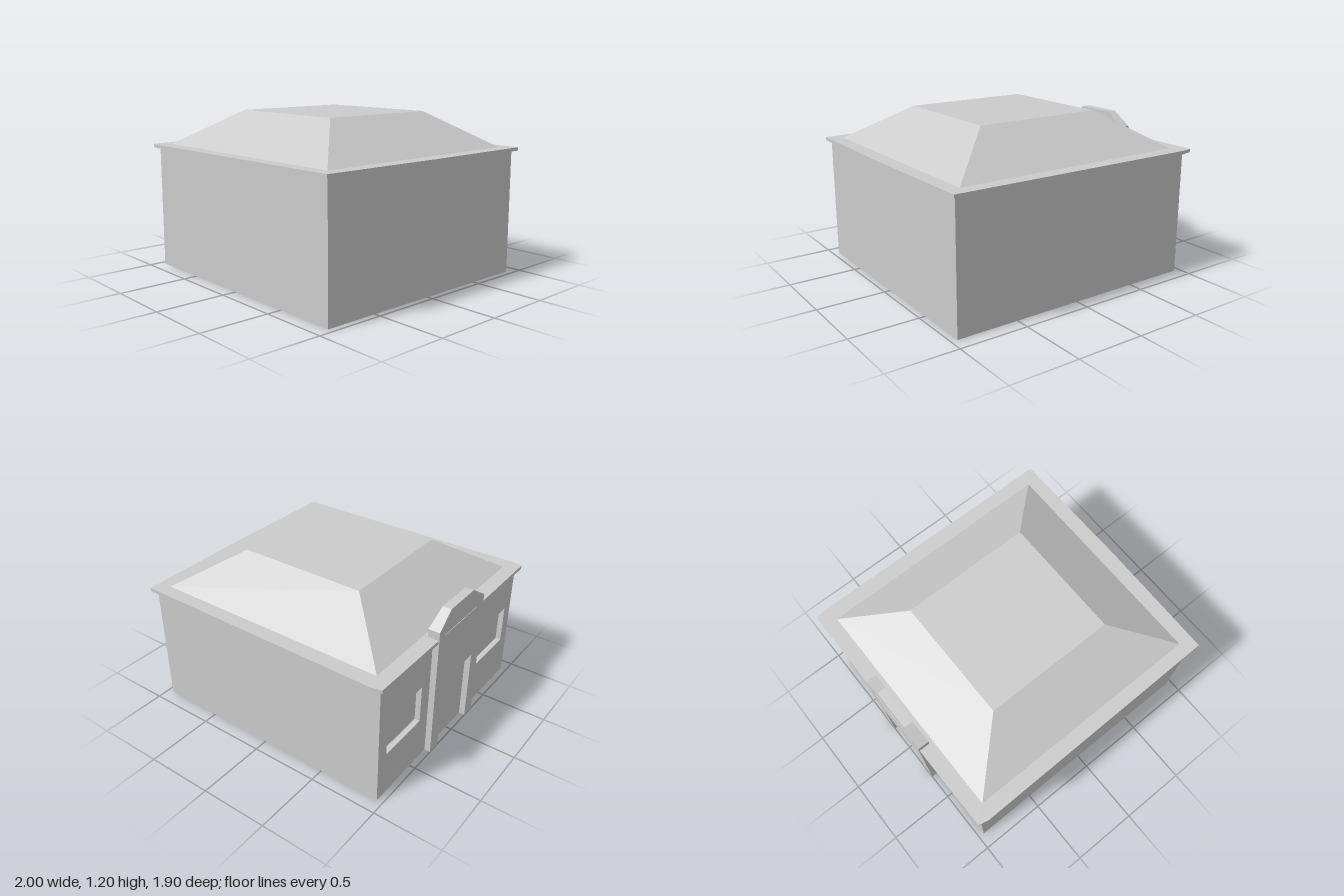
import * as THREE from 'three';

const material = new THREE.MeshStandardMaterial({ color: 0xcccccc, flatShading: true });

function part(name, geometry) {
  const mesh = new THREE.Mesh(geometry, material);
  mesh.name = name;
  return mesh;
}

function outline(points) {
  return new THREE.Shape(points.map(([a, b]) => new THREE.Vector2(a, b)));
}

// Extrudes a (z, y) outline towards -x, starting at the given x
function facadeExtrude(shape, startX, depth) {
  const g = new THREE.ExtrudeGeometry(shape, { depth, bevelEnabled: false });
  return g.rotateY(-Math.PI / 2).translate(startX, 0, 0);
}

function box(x0, x1, y0, y1, z0, z1) {
  return new THREE.BoxGeometry(x1 - x0, y1 - y0, z1 - z0)
    .translate((x0 + x1) / 2, (y0 + y1) / 2, (z0 + z1) / 2);
}

export function createModel() {
  const house = new THREE.Group();
  house.name = 'house';
  const wallX = 0.955, wallZ = 0.897, wallTop = 0.915, innerX = -0.915;

  // Main body; its -x face forms the window panes
  house.add(part('body', box(innerX, wallX, 0, wallTop, -wallZ, wallZ)));

  // Entrance wall with two recessed windows
  const wall = outline([[-wallZ, 0], [wallZ, 0], [wallZ, wallTop], [-wallZ, wallTop]]);
  for (const s of [-1, 1]) {
    wall.holes.push(outline([[s * 0.4, 0.33], [s * 0.805, 0.33], [s * 0.805, 0.615], [s * 0.4, 0.615]]));
  }
  house.add(part('entranceWall', facadeExtrude(wall, innerX, 0.04)));

  // Projecting entrance with door opening and a parapet that tapers at the top
  const portal = facadeExtrude(outline([
    [-0.3, 0], [-0.2, 0], [-0.2, 0.55], [0.2, 0.55], [0.2, 0], [0.3, 0],
    [0.3, 1.0], [0.15, 1.1], [-0.15, 1.1], [-0.3, 1.0],
  ]), innerX, 0.085);
  const p = portal.attributes.position;
  for (let i = 0; i < p.count; i++) {
    if (p.getY(i) > 1.05) p.setX(i, p.getX(i) < -0.95 ? -0.99 : -0.925);
  }
  portal.computeVertexNormals();
  house.add(part('entrancePortal', portal));

  // Overhanging eaves slab, slightly bowed in plan
  const eaves = new THREE.ExtrudeGeometry(outline([
    [-0.99, -0.935], [-0.915, -0.95], [0.985, -0.935], [0.997, 0],
    [0.985, 0.93], [-0.915, 0.947], [-0.99, 0.932], [-0.997, 0],
  ]), { depth: 0.025, bevelEnabled: false });
  house.add(part('eaves', eaves.rotateX(Math.PI / 2).translate(0, 0.94, 0)));

  // Hipped roof with a flat top
  const roof = box(-0.885, 0.885, 0.94, 1.2, -0.837, 0.837);
  const r = roof.attributes.position;
  for (let i = 0; i < r.count; i++) {
    if (r.getY(i) > 1) {
      r.setX(i, Math.sign(r.getX(i)) * 0.48);
      r.setZ(i, Math.sign(r.getZ(i)) * 0.452);
    }
  }
  roof.computeVertexNormals();
  house.add(part('roof', roof));

  return house;
}
